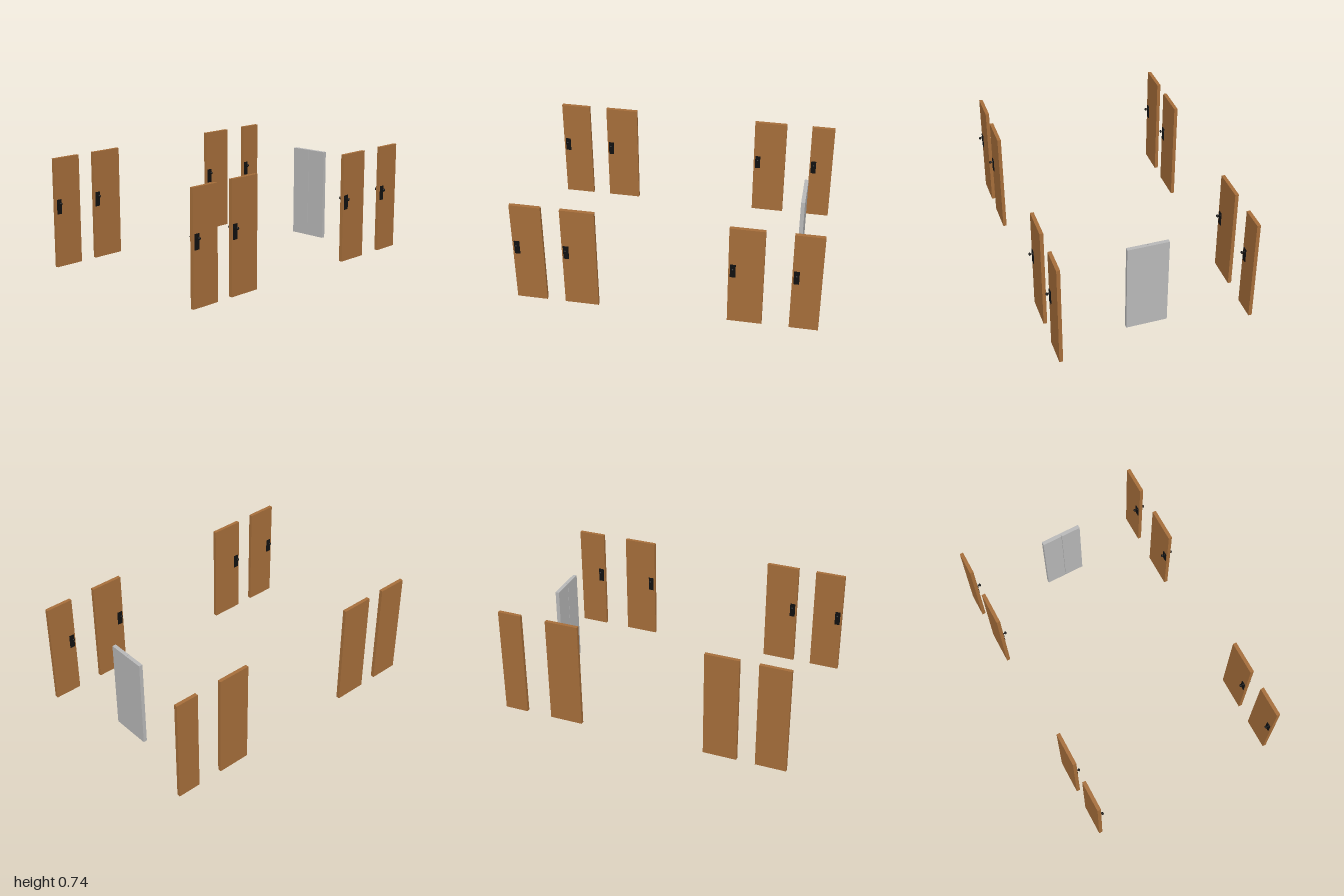
import * as THREE from 'three';

const wood = new THREE.MeshStandardMaterial({ name: 'wood', color: 0xa66e3a });
const steel = new THREE.MeshStandardMaterial({ name: 'steel', color: 0xb9b9b9 });
const black = new THREE.MeshStandardMaterial({ name: 'blackMetal', color: 0x101010 });

function add(parent, name, geometry, material, x, y, z) {
  const mesh = new THREE.Mesh(geometry, material);
  mesh.name = name;
  mesh.position.set(x, y, z);
  parent.add(mesh);
  return mesh;
}

// Box given by its limits on each axis
function slab(parent, name, material, [x0, x1], [y0, y1], [z0, z1]) {
  return add(parent, name, new THREE.BoxGeometry(x1 - x0, y1 - y0, z1 - z0), material,
    (x0 + x1) / 2, (y0 + y1) / 2, (z0 + z1) / 2);
}

// Back plate, rosette, spindle and round knob, projecting along +x
function makeHandle() {
  const handle = new THREE.Group();
  handle.name = 'handle';
  slab(handle, 'backPlate', black, [0, 0.004], [0.36, 0.458], [-0.018, 0.018]);
  const rod = (name, radius, length) => {
    const g = new THREE.CylinderGeometry(radius, radius, length, 20).rotateZ(-Math.PI / 2);
    add(handle, name, g, black, length / 2, 0.432, 0);
  };
  rod('rosette', 0.013, 0.007);
  rod('spindle', 0.0035, 0.025);
  const knob = add(handle, 'knob', new THREE.SphereGeometry(0.01, 20, 14), black, 0.0215, 0.432, 0);
  knob.scale.x = 0.8;
  return handle;
}

// Wooden door leaf with a handle on each listed side (+1 or -1 along x)
function makeDoor(x, [z0, z1], handleZ, sides) {
  const door = new THREE.Group();
  door.name = 'door';
  const half = 0.012;
  slab(door, 'doorLeaf', wood, [x - half, x + half], [0, 0.735], [z0, z1]);
  for (const side of sides) {
    const handle = makeHandle();
    handle.position.set(x + side * half, 0, handleZ);
    if (side < 0) handle.rotation.y = Math.PI;
    door.add(handle);
  }
  return door;
}

export function createModel() {
  const model = new THREE.Group();
  model.name = 'doorSet';

  // Two rows of four doors: z span and handle position
  const rows = [
    [[-1, -0.811], -0.839],
    [[-0.634, -0.408], -0.437],
    [[0.447, 0.672], 0.645],
    [[0.796, 1], 0.971],
  ];
  rows.forEach(([span, handleZ], i) => {
    model.add(makeDoor(0.627, span, handleZ, [1, -1]));
    // The rear door of the right row is narrower
    model.add(makeDoor(-0.66, i === 0 ? [-0.971, -0.811] : span, handleZ, [1]));
  });

  // Double steel door: backing with two leaves in front
  const lift = new THREE.Group();
  lift.name = 'steelDoubleDoor';
  const height = [0, 0.637];
  slab(lift, 'backing', steel, [-0.133, 0.144], height, [-0.834, -0.822]);
  slab(lift, 'rightLeaf', steel, [-0.133, 0.004], height, [-0.822, -0.808]);
  slab(lift, 'leftLeaf', steel, [0.007, 0.144], height, [-0.822, -0.808]);
  model.add(lift);

  return model;
}
